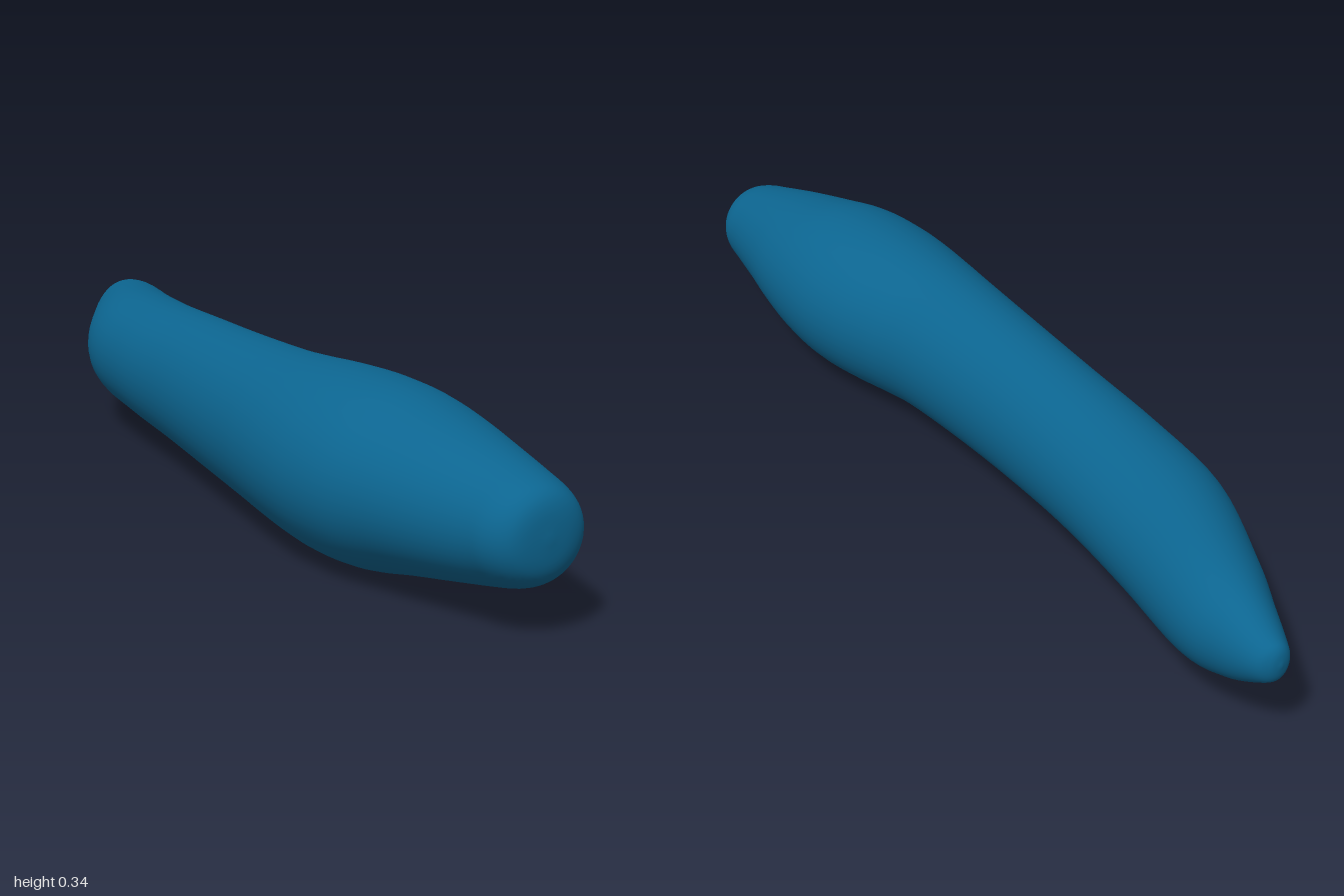
import * as THREE from 'three';
import { mergeVertices } from 'three/addons/utils/BufferGeometryUtils.js';

// Cross-sections from back tip to blunt front: z, left edge, right edge, bottom, top
const SECTIONS = [
  [-1, 0.137, 0.137, 0.185, 0.185],
  [-0.993, 0.115, 0.158, 0.155, 0.213],
  [-0.97, 0.098, 0.177, 0.137, 0.228],
  [-0.9, 0.06, 0.195, 0.1, 0.26],
  [-0.8, 0.003, 0.2, 0.07, 0.28],
  [-0.6, -0.09, 0.163, 0.051, 0.296],
  [-0.4, -0.12, 0.133, 0.045, 0.304],
  [-0.2, -0.135, 0.115, 0.037, 0.312],
  [0, -0.155, 0.107, 0.028, 0.318],
  [0.2, -0.177, 0.11, 0.018, 0.325],
  [0.3, -0.19, 0.125, 0.011, 0.33],
  [0.4, -0.201, 0.146, 0.004, 0.336],
  [0.5, -0.205, 0.157, 0.001, 0.338],
  [0.6, -0.196, 0.154, 0.009, 0.333],
  [0.7, -0.17, 0.142, 0.03, 0.316],
  [0.8, -0.14, 0.122, 0.05, 0.297],
  [0.9, -0.107, 0.103, 0.07, 0.275],
  [0.95, -0.095, 0.094, 0.083, 0.262],
  [0.98, -0.077, 0.076, 0.1, 0.248],
  [0.995, -0.05, 0.045, 0.127, 0.222],
  [1, 0, 0, 0.175, 0.175],
];

// Smooth elliptical loft through the cross-sections
function loft(sections, rows, sides) {
  const curve = (fn) => new THREE.CatmullRomCurve3(sections.map(fn), false, 'catmullrom', 0.5);
  const spine = curve(([z, l, r, b, t]) => new THREE.Vector3((l + r) / 2, (b + t) / 2, z));
  const radii = curve(([, l, r, b, t]) => new THREE.Vector3((r - l) / 2, (t - b) / 2, 0));
  const positions = [];
  const index = [];
  for (let i = 0; i <= rows; i++) {
    const c = spine.getPoint(i / rows);
    const s = radii.getPoint(i / rows);
    for (let j = 0; j < sides; j++) {
      const a = (j / sides) * Math.PI * 2;
      positions.push(c.x + s.x * Math.cos(a), c.y + s.y * Math.sin(a), c.z);
      if (i === rows) continue;
      const p = i * sides + j;
      const q = i * sides + ((j + 1) % sides);
      if (i > 0) index.push(p, q, p + sides);
      if (i < rows - 1) index.push(q, q + sides, p + sides);
      else continue;
    }
  }
  const geometry = new THREE.BufferGeometry();
  geometry.setAttribute('position', new THREE.Float32BufferAttribute(positions, 3));
  geometry.setIndex(index);
  // Weld the tips so they shade smoothly
  const welded = mergeVertices(geometry, 1e-5);
  welded.computeVertexNormals();
  return welded;
}

export function createModel() {
  const group = new THREE.Group();
  group.name = 'curvedFruit';
  const body = new THREE.Mesh(
    loft(SECTIONS, (SECTIONS.length - 1) * 5, 48),
    new THREE.MeshStandardMaterial({ color: 0x0c6590 })
  );
  body.name = 'body';
  group.add(body);
  return group;
}
